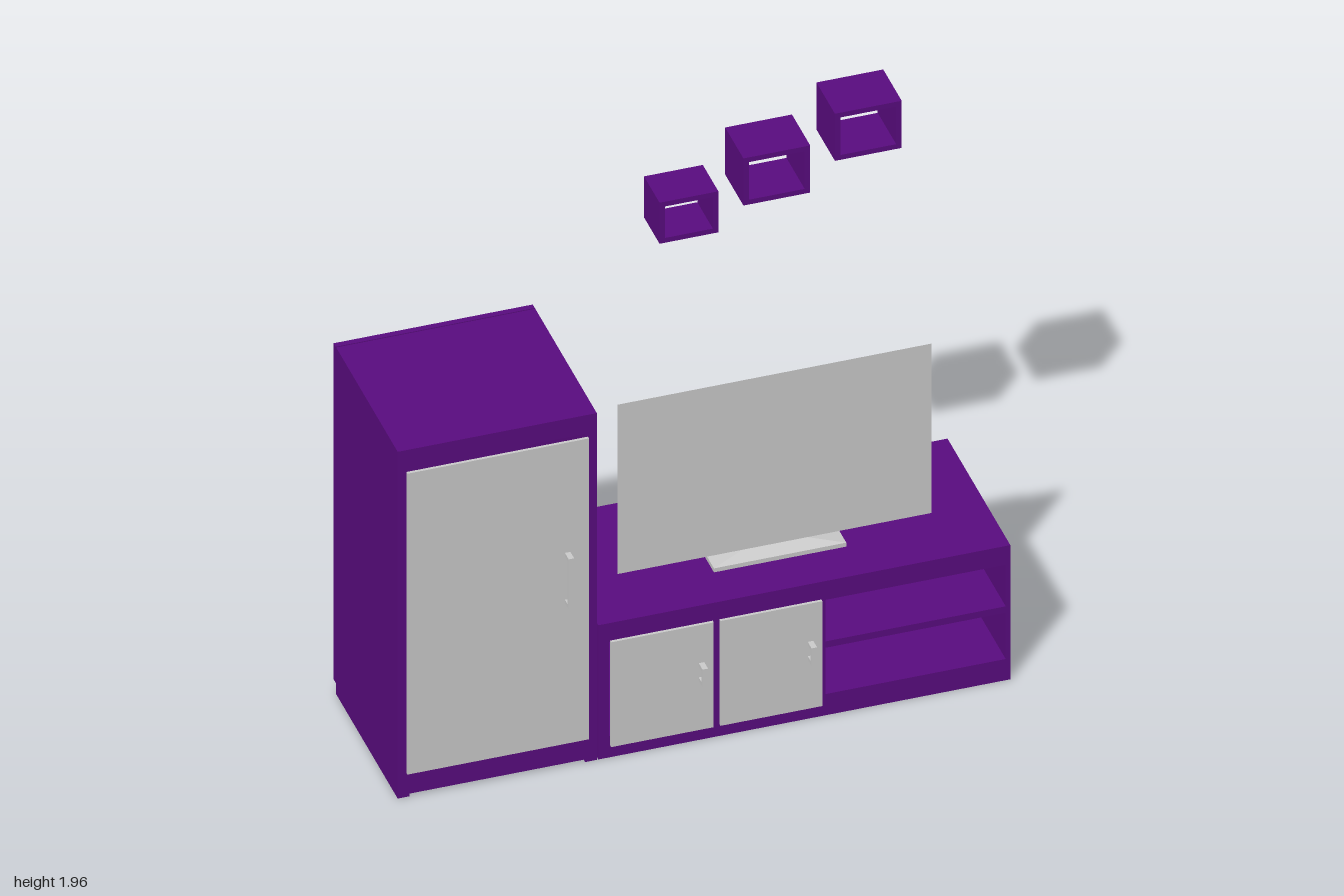
import * as THREE from 'three';

const purple = new THREE.MeshStandardMaterial({ color: 0x5a0c80 });
const grey = new THREE.MeshStandardMaterial({ color: 0xcccccc, flatShading: true });
const greyThin = new THREE.MeshStandardMaterial({ color: 0xcccccc, side: THREE.DoubleSide });

// Box given by its limits on each axis
function box(parent, name, mat, [x0, x1], [y0, y1], [z0, z1]) {
  const mesh = new THREE.Mesh(new THREE.BoxGeometry(x1 - x0, y1 - y0, z1 - z0), mat);
  mesh.position.set((x0 + x1) / 2, (y0 + y1) / 2, (z0 + z1) / 2);
  mesh.name = name;
  parent.add(mesh);
  return mesh;
}

function group(parent, name) {
  const g = new THREE.Group();
  g.name = name;
  parent.add(g);
  return g;
}

// Solid through rectangular sections [x0, x1, y0, y1, z], listed from front to back
function loft(parent, name, mat, sections) {
  const rings = sections.map(([x0, x1, y0, y1, z]) =>
    [[x0, y0, z], [x1, y0, z], [x1, y1, z], [x0, y1, z]]);
  const pos = [];
  const quad = (a, b, c, d) => pos.push(...a, ...b, ...c, ...a, ...c, ...d);
  quad(...rings[0]);
  for (let i = 0; i < rings.length - 1; i++) {
    for (let k = 0; k < 4; k++) {
      const n = (k + 1) % 4;
      quad(rings[i][n], rings[i][k], rings[i + 1][k], rings[i + 1][n]);
    }
  }
  quad(...[...rings[rings.length - 1]].reverse());
  const geo = new THREE.BufferGeometry();
  geo.setAttribute('position', new THREE.Float32BufferAttribute(pos, 3));
  geo.computeVertexNormals();
  const mesh = new THREE.Mesh(geo, mat);
  mesh.name = name;
  parent.add(mesh);
  return mesh;
}

// Door slab with a bracket handle
function door(parent, name, xs, ys, handleX, handleY) {
  const g = group(parent, name);
  box(g, 'doorPanel', grey, xs, ys, [0.29, 0.3]);
  const t = 0.013, hx = [handleX - 0.009, handleX + 0.009], [h0, h1] = handleY;
  box(g, 'handleGrip', grey, hx, handleY, [0.325, 0.337]);
  box(g, 'handleFoot', grey, hx, [h0, h0 + t], [0.3, 0.325]);
  box(g, 'handleFoot', grey, hx, [h1 - t, h1], [0.3, 0.325]);
}

function tallCabinet(parent) {
  const g = group(parent, 'tallCabinet');
  const z = [-0.313, 0.28];
  box(g, 'sidePanel', purple, [-1, -0.962], [0, 1.24], z);
  box(g, 'sidePanel', purple, [-0.388, -0.35], [0, 1.24], z);
  box(g, 'topPanel', purple, [-1, -0.35], [1.24, 1.31], z);
  box(g, 'bottomPanel', purple, [-0.962, -0.388], [0.01, 0.1], z);
  box(g, 'backPanel', purple, [-1, -0.35], [0.04, 1.31], [-0.337, -0.317]);
  door(g, 'tallDoor', [-0.975, -0.382], [0.098, 1.235], -0.452, [0.63, 0.82]);
}

function lowCabinet(parent) {
  const g = group(parent, 'lowCabinet');
  const z = [-0.31, 0.28], inner = [0.08, 0.436];
  box(g, 'topPanel', purple, [-0.345, 1], [0.436, 0.507], [-0.325, 0.28]);
  box(g, 'basePanel', purple, [-0.345, 1], [0, 0.08], z);
  for (const xs of [[-0.345, -0.31], [0.02, 0.05], [0.378, 0.396], [0.985, 1]]) {
    box(g, 'uprightPanel', purple, xs, inner, z);
  }
  box(g, 'openShelf', purple, [0.396, 0.985], [0.255, 0.279], z);
  box(g, 'backPanel', purple, [-0.345, 1], [0.04, 0.436], [-0.32, -0.31]);
  door(g, 'lowDoor', [-0.31, 0.025], [0.052, 0.448], -0.015, [0.238, 0.305]);
  door(g, 'lowDoor', [0.047, 0.38], [0.052, 0.448], 0.341, [0.238, 0.305]);
}

function television(parent) {
  const g = group(parent, 'television');
  // Thin front panel, slightly wider than the housing
  const screen = new THREE.Mesh(new THREE.PlaneGeometry(1.025, 0.64), greyThin);
  screen.position.set(0.293, 0.87, 0.096);
  screen.name = 'screen';
  g.add(screen);
  // Housing narrows towards the back
  loft(g, 'housing', grey, [
    [-0.195, 0.785, 0.555, 1.176, 0.095],
    [-0.19, 0.78, 0.56, 1.17, 0.088],
    [-0.135, 0.725, 0.595, 1.143, 0.064],
    [-0.088, 0.676, 0.632, 1.11, 0.032],
  ]);
  box(g, 'mount', grey, [0.175, 0.43], [0.755, 0.87], [-0.02, 0.033]);
  box(g, 'neck', grey, [0.225, 0.38], [0.53, 0.76], [0, 0.031]);
  // Foot: a slab with a sloping top
  box(g, 'footSlab', grey, [0.085, 0.517], [0.507, 0.522], [-0.048, 0.125]);
  const slope = loft(g, 'footSlope', grey, [
    [0.225, 0.375, -0.06, 0.01, 0.538],
    [0.085, 0.517, -0.125, 0.048, 0.522],
  ]);
  slope.rotation.x = -Math.PI / 2;
}

// Wall cube open at the front and back
function wallCube(parent, [x0, x1], [y0, y1], z0, z1) {
  const t = 0.018;
  const shape = new THREE.Shape([[x0, y0], [x1, y0], [x1, y1], [x0, y1]].map(p => new THREE.Vector2(...p)));
  shape.holes.push(new THREE.Path([[x0 + t, y0 + t], [x0 + t, y1 - t], [x1 - t, y1 - t], [x1 - t, y0 + t]]
    .map(p => new THREE.Vector2(...p))));
  const mesh = new THREE.Mesh(new THREE.ExtrudeGeometry(shape, { depth: z1 - z0, bevelEnabled: false }), purple);
  mesh.position.z = z0;
  mesh.name = 'wallCube';
  parent.add(mesh);
}

export function createModel() {
  const model = new THREE.Group();
  model.name = 'wallUnit';
  tallCabinet(model);
  lowCabinet(model);
  television(model);
  wallCube(model, [0.005, 0.197], [1.575, 1.73], -0.313, -0.163);
  wallCube(model, [0.27, 0.488], [1.677, 1.855], -0.313, -0.137);
  wallCube(model, [0.568, 0.786], [1.78, 1.958], -0.313, -0.135);
  return model;
}
